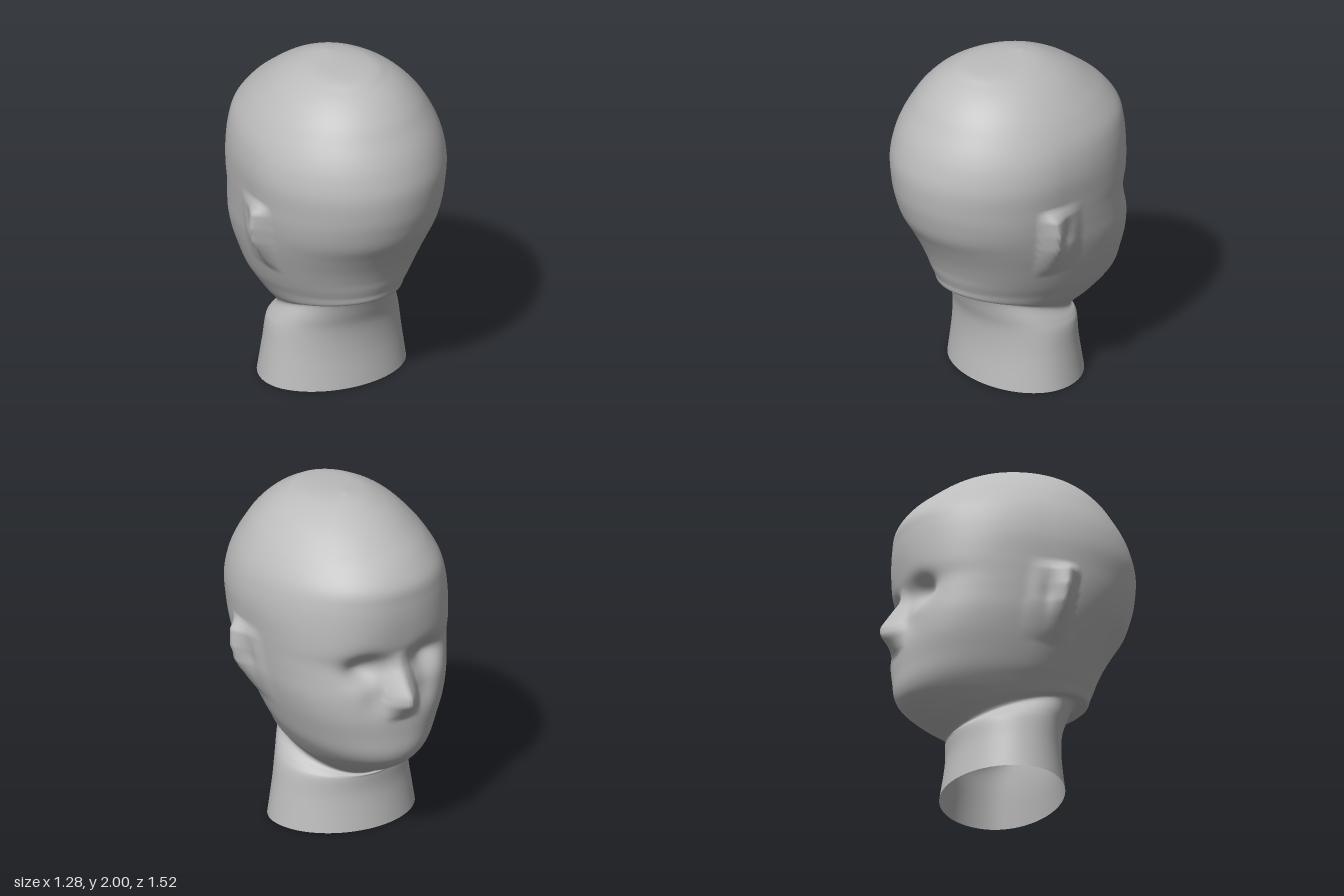
import * as THREE from 'three';

// Cross-sections: [yFront, yBack, halfWidth, zFace, zBack, roundness of the face side]
const RINGS = [
  [0.00, 0.00, 0.45, -0.37, 0.33, 2.0],
  [0.20, 0.20, 0.42, -0.34, 0.31, 2.0],
  [0.31, 0.36, 0.398, -0.34, 0.315, 2.0],
  [0.33, 0.47, 0.37, -0.343, 0.345, 2.0],
  [0.35, 0.60, 0.325, -0.345, 0.40, 2.0], // neck meets skull and jaw
  [0.42, 0.61, 0.355, -0.49, 0.48, 2.0],
  [0.50, 0.66, 0.395, -0.605, 0.50, 2.0],
  [0.58, 0.71, 0.43, -0.65, 0.52, 2.1],
  [0.70, 0.77, 0.465, -0.655, 0.54, 2.3],
  [0.82, 0.86, 0.50, -0.655, 0.58, 2.5],
  [0.94, 0.96, 0.53, -0.645, 0.635, 2.6],
  [1.06, 1.06, 0.55, -0.63, 0.695, 2.6],
  [1.16, 1.16, 0.565, -0.615, 0.73, 2.6],
  [1.26, 1.26, 0.577, -0.635, 0.752, 2.5],
  [1.40, 1.40, 0.59, -0.65, 0.76, 2.3],
  [1.52, 1.52, 0.58, -0.65, 0.735, 2.2],
  [1.62, 1.62, 0.552, -0.637, 0.695, 2.1],
  [1.72, 1.72, 0.50, -0.565, 0.635, 2.0],
  [1.80, 1.80, 0.44, -0.47, 0.58, 2.0],
  [1.88, 1.88, 0.36, -0.36, 0.50, 2.0],
  [1.94, 1.94, 0.27, -0.25, 0.41, 2.0],
  [1.98, 1.98, 0.17, -0.15, 0.30, 2.0],
  [2.00, 2.00, 0.00, -0.05, -0.05, 2.0],
];
const COLUMNS = 200, STEPS = 7;

// How far the nose stands out, and the ear flares, at each height
const NOSE = [[0.80, 0], [0.86, 0.05], [0.91, 0.108], [0.96, 0.112], [1.03, 0.075], [1.12, 0.03], [1.22, 0]];
const EAR = [[0.78, 0], [0.84, 0.025], [0.90, 0.045], [1.0, 0.085], [1.1, 0.09], [1.2, 0.07], [1.26, 0]];

function lookup(table, v) {
  for (let i = 1; i < table.length; i++) {
    const [a, fa] = table[i - 1], [b, fb] = table[i];
    if (v >= a && v <= b) return THREE.MathUtils.lerp(fa, fb, (v - a) / (b - a));
  }
  return 0;
}

const bump = (d, size) => Math.exp(-((d / size) ** 2));

// Smooth blend between neighbouring cross-sections
function ringAt(t) {
  const last = RINGS.length - 1;
  const i = Math.min(Math.floor(t), last - 1), f = t - i;
  const [p, a, b, q] = [i - 1, i, i + 1, i + 2].map((k) => RINGS[THREE.MathUtils.clamp(k, 0, last)]);
  return a.map((v, k) => {
    const m0 = (b[k] - p[k]) / 2, m1 = (q[k] - v) / 2;
    return v + f * (m0 + f * (3 * (b[k] - v) - 2 * m0 - m1 + f * (2 * (v - b[k]) + m0 + m1)));
  });
}

function headPoint(ring, angle) {
  const [yFront, yBack, halfWidth, zFace, zBack, roundness] = ring;
  const s = Math.sin(angle), c = Math.cos(angle);
  const n = c < 0 ? roundness : 2;
  const r = (Math.abs(s) ** n + Math.abs(c) ** n) ** (-1 / n);
  const depth = zBack - zFace, zMid = zFace + 0.54 * depth;
  let x = halfWidth * r * s;
  let z = zMid + (c < 0 ? zMid - zFace : zBack - zMid) * r * c;
  const k = depth > 1e-4 ? (z - zFace) / depth : 0;
  const y = THREE.MathUtils.lerp(yFront, yBack, k);
  const side = Math.abs(x);

  if (z < -0.2) {
    // Eye sockets and a slight hollow beside the nose
    z += 0.085 * bump(side - 0.21, 0.11) * bump(y - 1.12, 0.085);
    z += 0.02 * bump(side - 0.17, 0.07) * bump(y - 0.95, 0.09);
    // Nose, narrowing towards the bridge
    const width = THREE.MathUtils.clamp(0.125 - (y - 0.92) * 0.2, 0.07, 0.125);
    z -= lookup(NOSE, y) * Math.max(0, 1 - (side / width) ** 1.2);
  } else {
    // Ears flare backwards to a rim, then drop behind it
    const rim = 0.17 + (y - 1.05) * 0.12;
    const ramp = lookup([[rim - 0.23, 0], [rim - 0.09, 0.45], [rim, 1], [rim + 0.08, 0]], z);
    x += Math.sign(x) * ramp * lookup(EAR, y);
    // Hollow inside the ear
    x -= Math.sign(x) * 0.02 * bump(z - 0.07, 0.04) * bump(y - 1.06, 0.1);
  }
  return [x, y, z];
}

function headGeometry() {
  const rows = (RINGS.length - 1) * STEPS;
  const positions = [], index = [];
  for (let i = 0; i <= rows; i++) {
    const ring = ringAt(i / STEPS);
    for (let j = 0; j < COLUMNS; j++) {
      positions.push(...headPoint(ring, (j / COLUMNS) * Math.PI * 2));
      if (i === rows) continue;
      const a = i * COLUMNS + j, b = i * COLUMNS + ((j + 1) % COLUMNS);
      index.push(a, b, a + COLUMNS);
      if (i < rows - 1) index.push(b, b + COLUMNS, a + COLUMNS);
    }
  }
  const geometry = new THREE.BufferGeometry();
  geometry.setAttribute('position', new THREE.Float32BufferAttribute(positions, 3));
  geometry.setIndex(index);
  geometry.computeVertexNormals();
  // The crown points share one upward normal
  const normals = geometry.attributes.normal;
  for (let j = 0; j < COLUMNS; j++) normals.setXYZ(rows * COLUMNS + j, 0, 1, 0);
  return geometry;
}

export function createModel() {
  const model = new THREE.Group();
  model.name = 'mannequinHead';
  const grey = new THREE.MeshStandardMaterial({ color: 0xbcbcbc, side: THREE.DoubleSide });
  grey.name = 'plain grey';
  // Head and neck are one continuous skin, open at the base
  const head = new THREE.Mesh(headGeometry(), grey);
  head.name = 'headAndNeck';
  model.add(head);
  return model;
}
